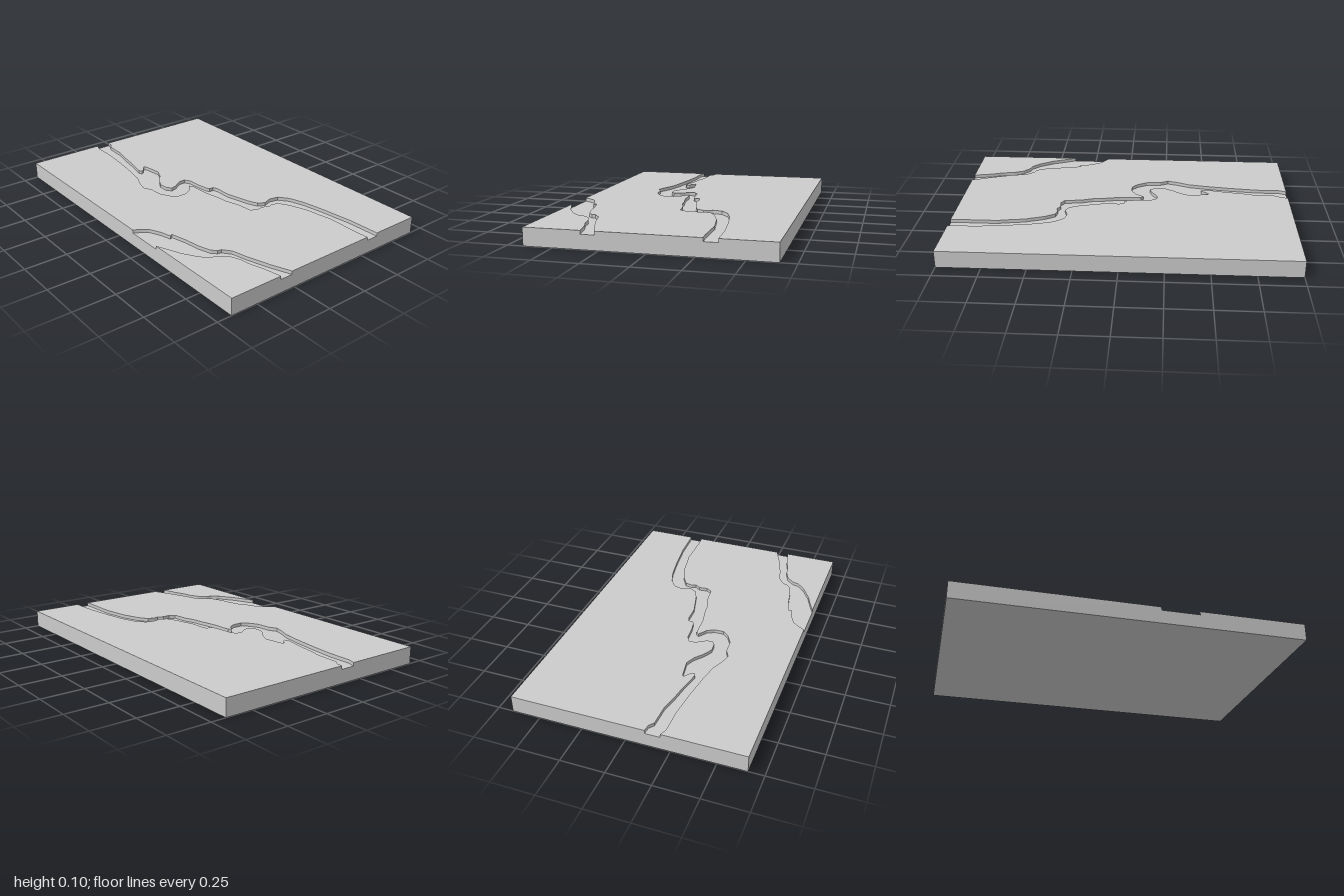
import * as THREE from 'three';

const W = 1, D = 0.663, TOP = 0.1, BED = 0.08;

// River banks as [x, z] points, running from left to right
const mainNorth = [
  [-1, 0.11], [-0.957, 0.115], [-0.93, 0.137], [-0.8, 0.14], [-0.72, 0.158], [-0.61, 0.175], [-0.49, 0.2],
  [-0.47, 0.19], [-0.476, 0.175], [-0.52, 0.14], [-0.5, 0.132], [-0.395, 0.116], [-0.34, 0.14], [-0.29, 0.18],
  [-0.235, 0.21], [-0.18, 0.207], [-0.15, 0.185], [-0.16, 0.148], [-0.195, 0.095], [-0.195, 0.057],
  [-0.16, 0.036], [-0.075, 0.03], [-0.02, 0.02], [0, 0.01], [0, -0.018], [0.03, -0.028], [0.123, -0.028],
  [0.19, -0.045], [0.27, -0.066], [0.326, -0.09], [0.348, -0.13], [0.33, -0.184], [0.342, -0.237],
  [0.396, -0.28], [0.487, -0.31], [0.62, -0.333], [0.81, -0.357], [1, -0.365],
];
const mainSouth = [
  [-1, 0.196], [-0.957, 0.212], [-0.82, 0.212], [-0.66, 0.228], [-0.5, 0.25], [-0.395, 0.27], [-0.315, 0.303],
  [-0.262, 0.318], [-0.21, 0.292], [-0.128, 0.287], [-0.07, 0.255], [-0.037, 0.218], [-0.037, 0.164],
  [-0.06, 0.12], [-0.112, 0.084], [-0.096, 0.068], [0.03, 0.062], [0.14, 0.04], [0.19, 0.036], [0.27, 0.01],
  [0.364, 0], [0.385, -0.033], [0.38, -0.082], [0.4, -0.114], [0.39, -0.14], [0.4, -0.184], [0.46, -0.22],
  [0.567, -0.258], [0.674, -0.275], [0.727, -0.285], [0.94, -0.285], [1, -0.29],
];
const sideNorth = [
  [0.147, D], [0.17, 0.624], [0.2, 0.587], [0.27, 0.555], [0.33, 0.54], [0.32, 0.523], [0.417, 0.5],
  [0.513, 0.485], [0.583, 0.463], [0.61, 0.437], [0.615, 0.415], [0.663, 0.378], [0.754, 0.357],
  [0.888, 0.314], [1, 0.27],
];
const sideSouth = [
  [0.37, D], [0.433, 0.635], [0.513, 0.603], [0.6, 0.55], [0.642, 0.506], [0.652, 0.47], [0.69, 0.426],
  [0.754, 0.4], [0.82, 0.39], [0.888, 0.367], [1, 0.345],
];
const back = (bank) => [...bank].reverse();

// Both points on the same outer side of the slab
const onRim = (a, b) =>
  (a[0] === b[0] && Math.abs(a[0]) === W) || (a[1] === b[1] && Math.abs(a[1]) === D);

// Flat face of a region at height y
function flatFace(points, y) {
  const shape = new THREE.Shape(points.map(([x, z]) => new THREE.Vector2(x, -z)));
  return new THREE.ShapeGeometry(shape).rotateX(-Math.PI / 2).translate(0, y, 0);
}

// Vertical walls: full height on the rim, bank height along the rivers
function walls(points, top) {
  const flat = points.map(([x, z]) => new THREE.Vector2(x, -z));
  const loop = THREE.ShapeUtils.isClockWise(flat) ? back(points) : points;
  const pos = [];
  loop.forEach((a, i) => {
    const b = loop[(i + 1) % loop.length];
    const low = onRim(a, b) ? 0 : BED;
    if (low === top) return;
    const [al, bl, bh, ah] = [[a, low], [b, low], [b, top], [a, top]].map(([p, y]) => [p[0], y, p[1]]);
    pos.push(...al, ...bl, ...bh, ...al, ...bh, ...ah);
  });
  const geo = new THREE.BufferGeometry();
  geo.setAttribute('position', new THREE.Float32BufferAttribute(pos, 3));
  geo.computeVertexNormals();
  return geo;
}

export function createModel() {
  const group = new THREE.Group();
  group.name = 'riverTerrainSlab';
  const material = new THREE.MeshStandardMaterial({ color: 0xcccccc, flatShading: true });
  const add = (name, geometry) => {
    const mesh = new THREE.Mesh(geometry, material);
    mesh.name = name;
    group.add(mesh);
    return mesh;
  };

  // Three land areas and two sunken river beds tile the slab
  const regions = [
    ['northLand', TOP, [[-W, -D], ...mainNorth, [W, -D]]],
    ['mainRiver', BED, [...mainNorth, ...back(mainSouth)]],
    ['middleLand', TOP, [...mainSouth, ...back(sideNorth), [-W, D]]],
    ['sideRiver', BED, [...sideNorth, ...back(sideSouth)]],
    ['cornerLand', TOP, [...sideSouth, [W, D]]],
  ];
  for (const [name, height, points] of regions) {
    add(name + 'Surface', flatFace(points, height));
    add(name + 'Walls', walls(points, height));
  }

  // Underside
  add('underside', new THREE.PlaneGeometry(2 * W, 2 * D).rotateX(Math.PI / 2));
  return group;
}
